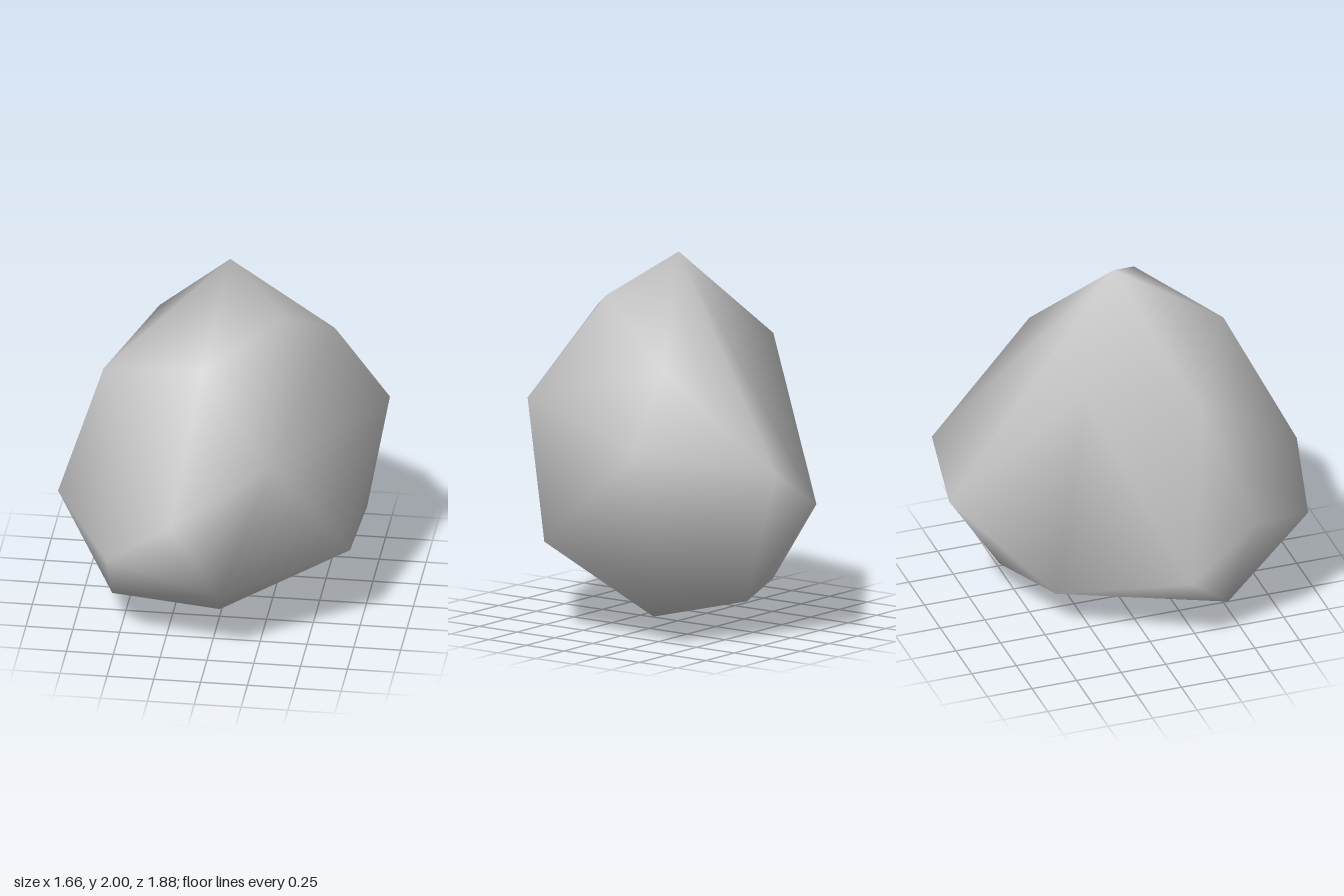
import * as THREE from 'three';

// Irregular loops of corners, each running from the front right round to the left
const peak = [[0.02, 2, -0.02]];
const shoulder = [
  [0.35, 1.79, 0.21], [-0.05, 1.63, 0.57], [-0.62, 1.44, 0.25], [-0.4, 1.53, -0.33],
  [0.03, 0.75, -0.94], [0.36, 0.96, -0.92], [0.54, 1.47, -0.31],
];
const belt = [
  [0.34, 1.17, 0.74], [-0.17, 0.88, 0.94], [-0.52, 0.63, 0.88], [-0.83, 0.82, 0.49],
  [-0.78, 0.48, 0.14], [-0.25, 0.24, -0.44], [0.19, 0.21, -0.6], [0.7, 0.37, -0.39],
  [0.83, 1.07, -0.33],
];
const foot = [[0.07, 0.41, 0.8], [-0.55, 0.19, 0.42], [-0.01, 0, 0.17], [0.71, 0.5, 0.35]];

// Stitch two loops: 'u' steps along the upper loop, 'd' along the lower one
function stitch(upper, lower, steps) {
  const faces = [];
  let i = 0;
  let j = 0;
  for (const step of steps) {
    const u = upper[i % upper.length];
    const d = lower[j % lower.length];
    if (step === 'u') faces.push(u, upper[++i % upper.length], d);
    else faces.push(u, lower[++j % lower.length], d);
  }
  return faces;
}

export function createModel() {
  const group = new THREE.Group();
  group.name = 'rock';

  const stone = new THREE.MeshStandardMaterial({ color: 0xc8c8c8 });
  stone.name = 'stone grey';

  const corners = [...peak, ...shoulder, ...belt, ...foot];
  const faces = [
    ...stitch(peak, shoulder, 'ddddddd'),
    ...stitch(shoulder, belt, 'ududddudududdudu'),
    ...stitch(belt, foot, 'uuduuuduuduud'),
    ...stitch(foot.slice(1), foot.slice(0, 1), 'uu'), // underside
  ];

  // Shared corners give smooth shading across the facets
  const skin = new THREE.BufferGeometry();
  skin.setAttribute('position', new THREE.Float32BufferAttribute(corners.flat(), 3));
  skin.setIndex(faces.map((corner) => corners.indexOf(corner)));
  skin.computeVertexNormals();

  const boulder = new THREE.Mesh(skin, stone);
  boulder.name = 'boulder';
  group.add(boulder);
  return group;
}
